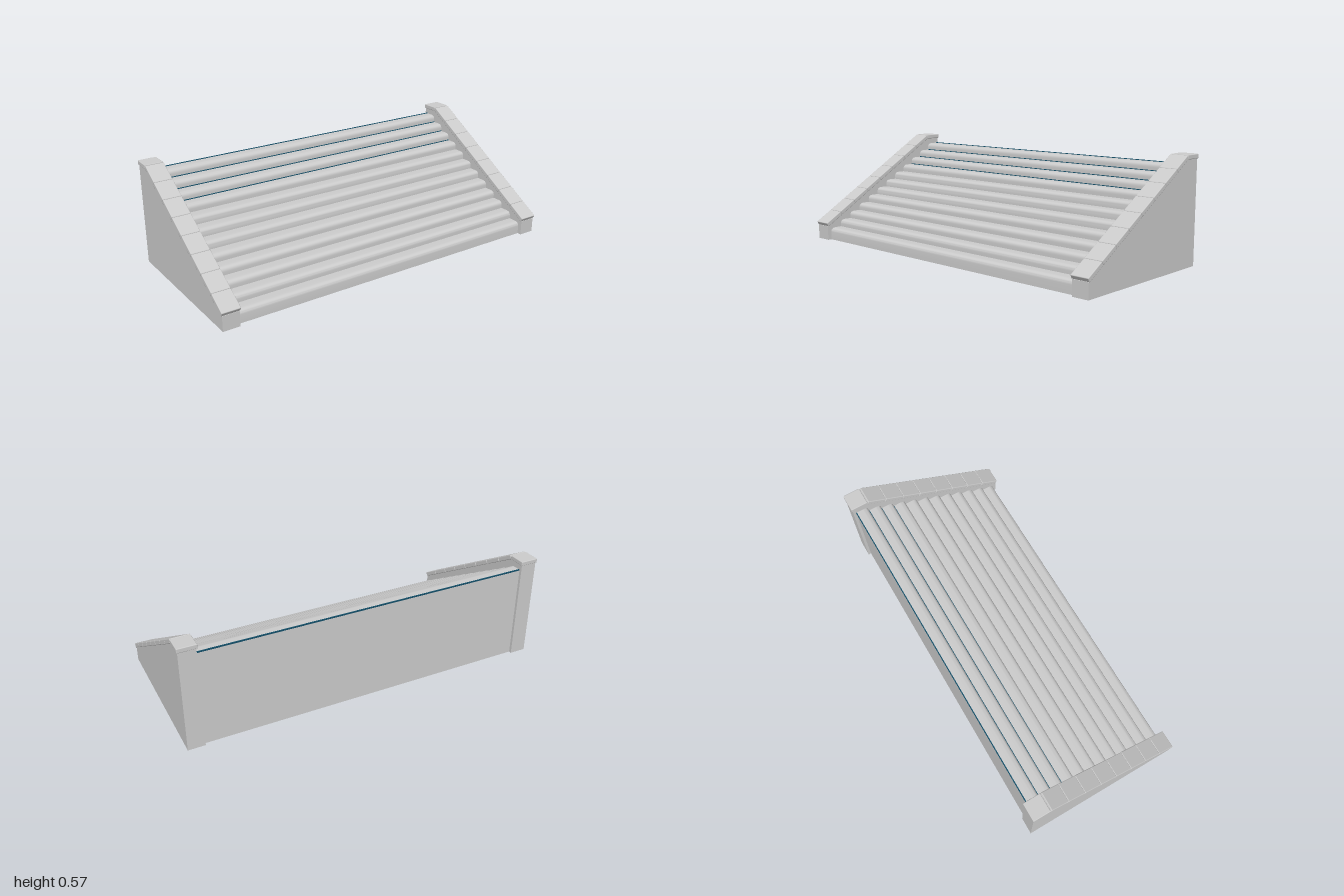
import * as THREE from 'three';
import { toCreasedNormals } from 'three/addons/utils/BufferGeometryUtils.js';
import { RoundedBoxGeometry } from 'three/addons/geometries/RoundedBoxGeometry.js';

const STEPS = 12;
const RUN = 0.0705;
const RISE = 0.041;
const FRONT = 0.417;
const FIRST_TOP = 0.069;
const BACK = FRONT - STEPS * RUN;

export function createModel() {
  const group = new THREE.Group();
  const grey = new THREE.MeshStandardMaterial({ color: 0xcccccc });
  const shell = new THREE.MeshStandardMaterial({ color: 0xcccccc, side: THREE.DoubleSide });
  const teal = new THREE.MeshStandardMaterial({ color: 0x14506a });

  function add(name, geometry, material, x = 0, y = 0, z = 0) {
    const mesh = new THREE.Mesh(geometry, material);
    mesh.name = name;
    mesh.position.set(x, y, z);
    group.add(mesh);
    return mesh;
  }

  // Solid flight of steps: side profile in (z, y) with rounded nosings
  const profile = new THREE.Shape();
  profile.moveTo(BACK, 0);
  profile.lineTo(FRONT, 0);
  for (let i = 0; i < STEPS; i++) {
    const z = FRONT - i * RUN;
    const top = FIRST_TOP + i * RISE;
    profile.lineTo(z, top - 0.024);
    profile.quadraticCurveTo(z, top, z - 0.03, top);
    profile.lineTo(z - RUN, top);
  }
  const flight = new THREE.ExtrudeGeometry(profile, { depth: 1.81, bevelEnabled: false, curveSegments: 6 });
  flight.translate(0, 0, -0.905).rotateY(-Math.PI / 2);
  add('steps', toCreasedNormals(flight, 0.6), grey);

  // Thin coloured strips along the back of the four highest treads
  for (let i = STEPS - 4; i < STEPS; i++) {
    add('treadStrip', new THREE.BoxGeometry(1.806, 0.007, 0.005), teal,
      0, FIRST_TOP + i * RISE, FRONT - (i + 1) * RUN + 0.0018);
  }

  // Side walls: hollow shells, open underneath
  const outline = [[0.44, 0], [0.44, 0.081], [-0.352, 0.555], [-0.444, 0.555], [-0.444, 0]];
  const wallShape = new THREE.Shape(outline.map(([z, y]) => new THREE.Vector2(z, y)));
  const wallWidth = 0.09;

  // Coping stones on the slope
  const low = new THREE.Vector2(0.45, 0.1);
  const high = new THREE.Vector2(-0.346, 0.574);
  const angle = Math.atan2(high.y - low.y, low.x - high.x);
  const count = 8;
  const length = low.distanceTo(high) / count;
  const thick = 0.024;

  for (const side of [1, -1]) {
    const x = side * 0.95;
    for (const offset of [-1, 1]) {
      const face = new THREE.ShapeGeometry(wallShape);
      face.rotateY(-Math.PI / 2);
      // The shape faces -x; turn the triangles of the +x face round
      if (offset > 0) {
        const index = face.index.array;
        for (let i = 0; i < index.length; i += 3) [index[i], index[i + 1]] = [index[i + 1], index[i]];
        face.computeVertexNormals();
      }
      add('wallSide', face, shell, x + offset * wallWidth / 2);
    }
    for (let i = 0; i < outline.length - 1; i++) {
      const a = new THREE.Vector2(...outline[i]);
      const b = new THREE.Vector2(...outline[i + 1]);
      const edge = new THREE.PlaneGeometry(wallWidth, a.distanceTo(b));
      edge.rotateX(Math.atan2(b.x - a.x, b.y - a.y));
      add('wallEdge', edge, shell, x, (a.y + b.y) / 2, (a.x + b.x) / 2);
    }

    for (let i = 0; i < count; i++) {
      const p = low.clone().lerp(high, (i + 0.5) / count);
      const stone = add('copingStone', new RoundedBoxGeometry(0.1, thick, length, 2, 0.004), grey,
        x, p.y - Math.cos(angle) * thick / 2, p.x - Math.sin(angle) * thick / 2);
      stone.rotation.x = angle;
    }
    add('topCopingStone', new RoundedBoxGeometry(0.1, thick, 0.096, 2, 0.004), grey, x, 0.563, -0.401);
  }

  return group;
}
